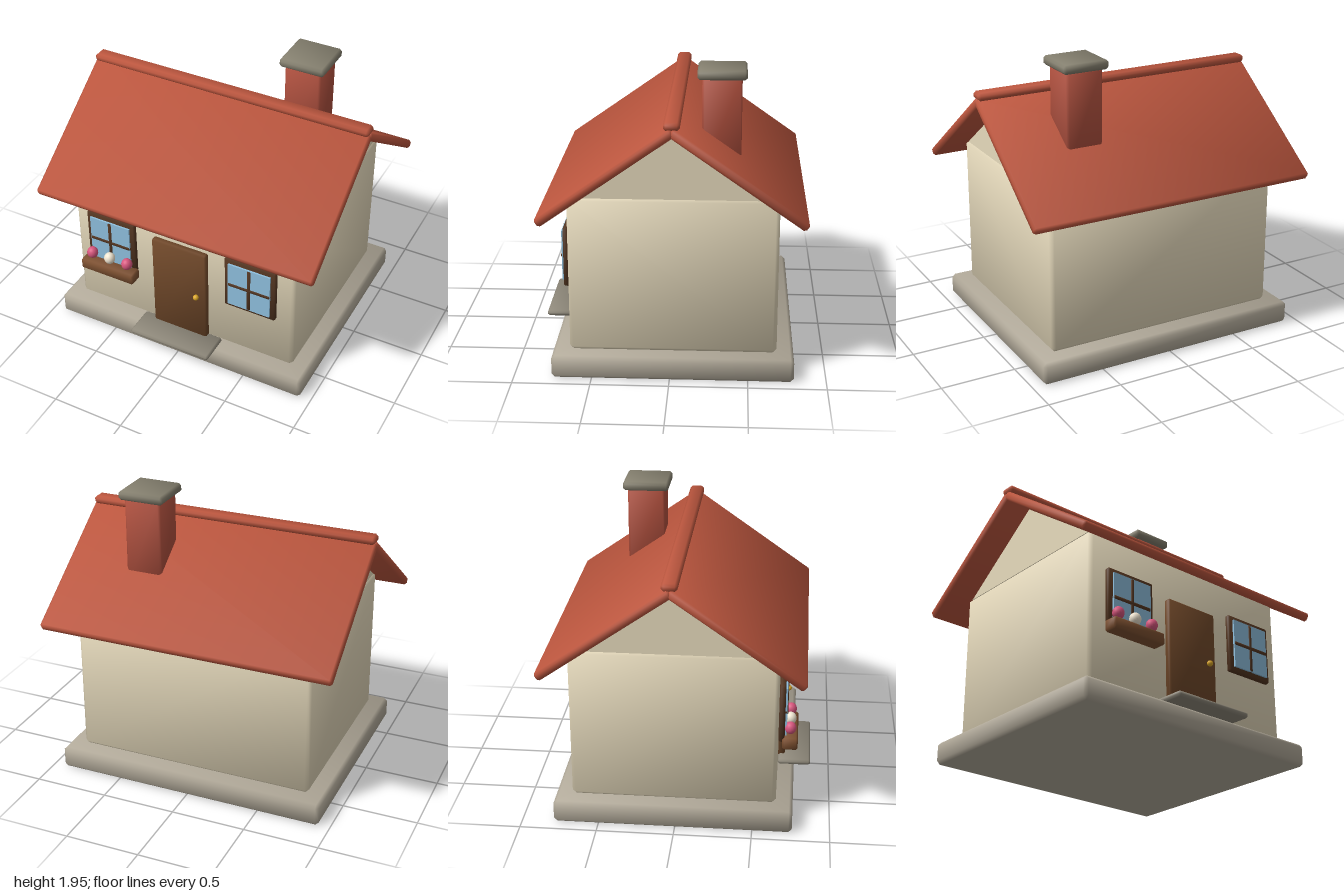
import * as THREE from 'three';
import { ConvexGeometry } from 'three/addons/geometries/ConvexGeometry.js';

const Z0 = -0.018; // depth centre of the house body
const COLORS = {
  stone: 0xb0a898, wall: 0xe6dabc, roof: 0xbc563e, brick: 0xb0503e, cap: 0x85806f,
  door: 0x704829, frame: 0x533520, planter: 0x7d5030, glass: 0x8fc0de,
  gold: 0xd8a426, pink: 0xd8567e, cream: 0xf0e6d2, step: 0x8c8678,
};
const materials = {};
for (const [key, color] of Object.entries(COLORS)) {
  materials[key] = new THREE.MeshStandardMaterial({ color });
}

// Chamfered box whose normals are smoothed over the bevels
function bevelBox(w, h, d, b) {
  const half = [w / 2, h / 2, d / 2];
  const points = [];
  for (let axis = 0; axis < 3; axis++) {
    for (let corner = 0; corner < 8; corner++) {
      const c = half.map((s, i) => (corner >> i & 1 ? 1 : -1) * (i === axis ? s : s - b));
      points.push(new THREE.Vector3(...c));
    }
  }
  const geometry = new ConvexGeometry(points);
  const pos = geometry.attributes.position;
  const normal = geometry.attributes.normal;
  const p = new THREE.Vector3();
  for (let i = 0; i < pos.count; i++) {
    p.fromBufferAttribute(pos, i);
    const n = p.toArray().map((v, k) => Math.sign(v) * (Math.abs(v) > half[k] - b / 2 ? 0.87 : 0.34));
    normal.setXYZ(i, ...n);
  }
  return geometry;
}

function add(parent, name, geometry, material, x, y, z) {
  const mesh = new THREE.Mesh(geometry, materials[material]);
  mesh.name = name;
  mesh.position.set(x, y, z);
  parent.add(mesh);
  return mesh;
}

// Framed window with four panes
function makeWindow(name, x) {
  const group = new THREE.Group();
  group.name = name;
  add(group, 'windowFrame', bevelBox(0.365, 0.4, 0.04, 0.01), 'frame', 0, 0, 0);
  add(group, 'windowGlass', new THREE.BoxGeometry(0.3, 0.335, 0.04), 'glass', 0, 0, 0.012);
  add(group, 'verticalBar', bevelBox(0.03, 0.335, 0.03, 0.008), 'frame', 0, 0, 0.022);
  add(group, 'horizontalBar', bevelBox(0.3, 0.03, 0.03, 0.008), 'frame', 0, 0, 0.022);
  group.position.set(x, 0.743, 0.67);
  return group;
}

// Planter with three round flowers
function makeFlowerBox(x) {
  const group = new THREE.Group();
  group.name = 'flowerBox';
  add(group, 'planter', bevelBox(0.405, 0.08, 0.1, 0.012), 'planter', 0, 0, 0);
  [-1, 0, 1].forEach((i) => {
    const flower = add(group, 'flower', new THREE.SphereGeometry(0.038, 16, 12),
      i ? 'pink' : 'cream', i * 0.135, 0.09, 0);
    flower.scale.y = 1.1;
  });
  group.position.set(x, 0.538, 0.725);
  return group;
}

export function createModel() {
  const house = new THREE.Group();
  house.name = 'cottage';

  // Base and walls
  add(house, 'foundation', bevelBox(1.85, 0.15, 1.55, 0.022), 'stone', 0, 0.075, Z0);
  add(house, 'walls', bevelBox(1.63, 1.04, 1.33, 0.025), 'wall', 0, 0.67, Z0);

  // Gable prism under the roof
  const triangle = new THREE.Shape([
    new THREE.Vector2(-0.645, 1.18), new THREE.Vector2(0.645, 1.18), new THREE.Vector2(0, 1.625),
  ]);
  const gable = new THREE.ExtrudeGeometry(triangle, { depth: 1.61, bevelEnabled: false });
  gable.translate(0, 0, -0.805).rotateY(Math.PI / 2);
  add(house, 'gable', gable, 'wall', 0, 0, Z0);

  // Roof slabs and ridge
  for (const side of [1, -1]) {
    const slab = add(house, side > 0 ? 'frontRoof' : 'backRoof',
      bevelBox(2, 0.058, 1.02, 0.014), 'roof', 0, 1.367, Z0 + side * 0.412);
    slab.rotation.x = side * 0.613;
  }
  add(house, 'ridge', bevelBox(1.99, 0.052, 0.1, 0.016), 'roof', 0, 1.696, Z0);

  // Chimney
  add(house, 'chimney', bevelBox(0.25, 0.6, 0.25, 0.015), 'brick', 0.441, 1.59, -0.313);
  add(house, 'chimneyCap', bevelBox(0.31, 0.06, 0.31, 0.015), 'cap', 0.441, 1.915, -0.313);

  // Door, knob and step
  add(house, 'door', bevelBox(0.4, 0.74, 0.05, 0.01), 'door', -0.004, 0.52, 0.667);
  add(house, 'doorKnob', new THREE.SphereGeometry(0.02, 16, 12), 'gold', 0.13, 0.526, 0.705);
  add(house, 'doorStep', bevelBox(0.59, 0.036, 0.22, 0.012), 'step', 0, 0.167, 0.757);

  // Windows and flowers
  house.add(makeWindow('rightWindow', -0.52), makeWindow('leftWindow', 0.516), makeFlowerBox(-0.52));
  return house;
}
